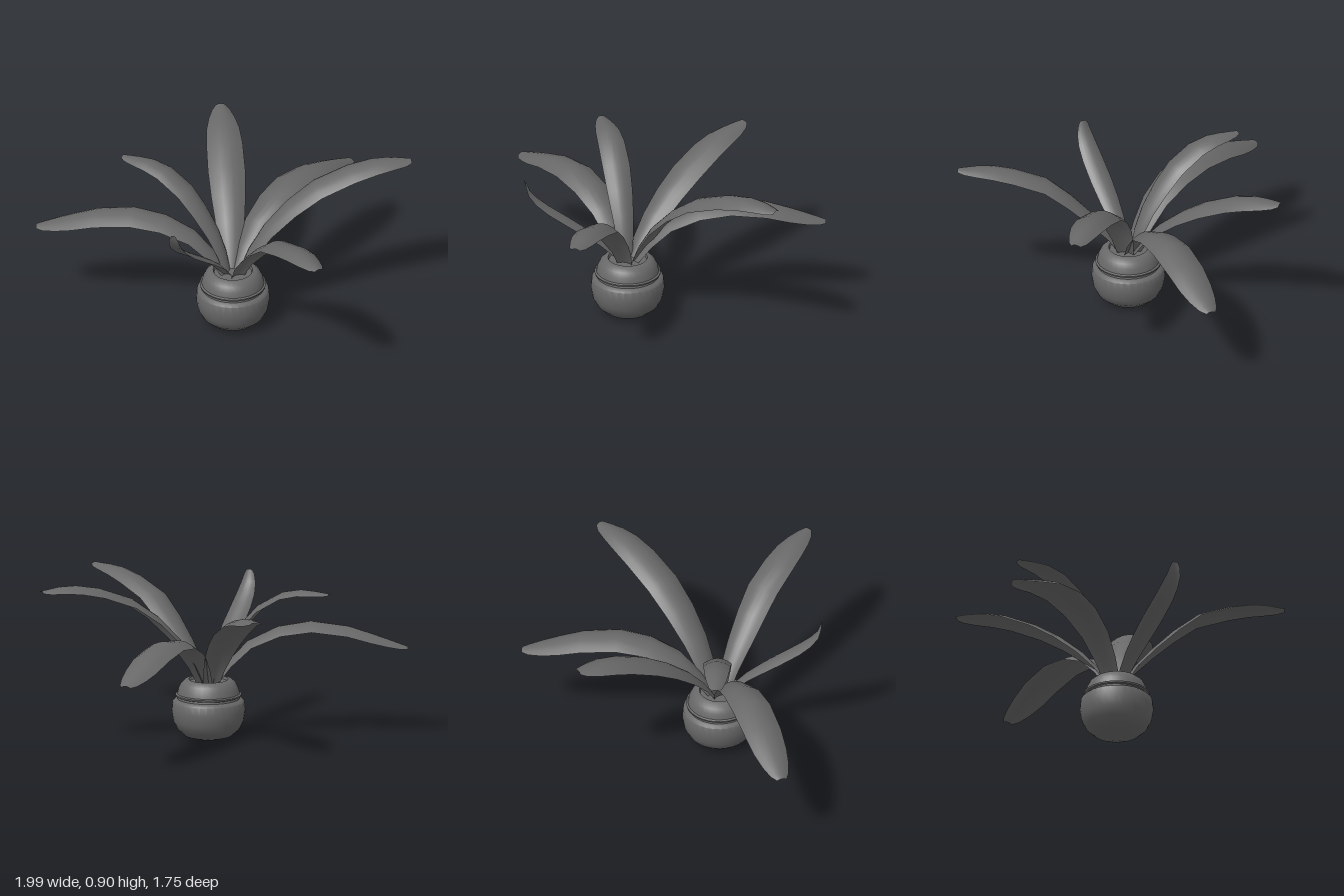
import * as THREE from 'three';
import { toCreasedNormals } from 'three/addons/utils/BufferGeometryUtils.js';

const grey = new THREE.MeshStandardMaterial({ color: 0x686868 });
const leafGrey = new THREE.MeshStandardMaterial({ color: 0x686868, side: THREE.DoubleSide });
const BASE = new THREE.Vector3(0.018, 0, 0.02);

// half-width of a blade along its length, relative to its widest point
const OUTLINE = [[0, 0.42], [0.12, 0.6], [0.25, 0.77], [0.4, 0.92], [0.55, 1], [0.72, 0.97],
  [0.83, 0.87], [0.91, 0.7], [0.97, 0.48], [1, 0.26]];

// Arched blade swept along a spine given as [fraction of reach, height]
function leafGeometry(tipX, tipZ, halfWidth, spine) {
  const out = new THREE.Vector3(tipX - BASE.x, 0, tipZ - BASE.z);
  const curve = new THREE.CatmullRomCurve3(spine.map(([f, y]) =>
    BASE.clone().addScaledVector(out, f).setY(y)));
  const side = new THREE.Vector3(0, 1, 0).cross(out).normalize();
  const cols = 6, pos = [], index = [];
  OUTLINE.forEach(([t, width], r) => {
    const p = curve.getPointAt(t), tangent = curve.getTangentAt(t);
    const normal = tangent.clone().cross(side).normalize();
    const w = halfWidth * width;
    for (let c = 0; c <= cols; c++) {
      const u = (c / cols) * 2 - 1;
      const v = p.clone().addScaledVector(side, u * w).addScaledVector(normal, -0.38 * w * u * u);
      pos.push(v.x, v.y, v.z);
      if (r && c) {
        const d = r * (cols + 1) + c, b = d - cols - 1;
        index.push(b - 1, b, d - 1, b, d, d - 1);
      }
    }
  });
  const g = new THREE.BufferGeometry();
  g.setAttribute('position', new THREE.Float32BufferAttribute(pos, 3));
  g.setIndex(index);
  g.computeVertexNormals();
  return g;
}

export function createModel() {
  const group = new THREE.Group();

  // Round pot with a grooved band, filled almost to the rim
  const profile = [[0.075, 0], [0.125, 0.015], [0.165, 0.05], [0.188, 0.095], [0.197, 0.15],
    [0.192, 0.2], [0.18, 0.212], [0.167, 0.216], [0.165, 0.226], [0.175, 0.23], [0.177, 0.239],
    [0.167, 0.244], [0.165, 0.252], [0.16, 0.272], [0.147, 0.298], [0.126, 0.318], [0.105, 0.32],
    [0.1, 0.306], [0, 0.306]].map(([x, y]) => new THREE.Vector2(x, y));
  const pot = new THREE.Mesh(toCreasedNormals(new THREE.LatheGeometry(profile, 32), 0.7), grey);
  pot.name = 'pot';
  pot.position.copy(BASE);
  const foot = new THREE.Mesh(new THREE.CircleGeometry(0.075, 32).rotateX(Math.PI / 2), grey);
  foot.name = 'potFoot';
  foot.position.copy(BASE);
  group.add(pot, foot);

  // Leaves: name, tip x, tip z, half-width, spine
  const drooping = [[0.02, 0.29], [0.1, 0.42], [0.22, 0.545], [0.4, 0.618], [0.6, 0.628], [0.8, 0.568], [1, 0.49]];
  const leaves = [
    ['leftLeaf', 0.99, -0.04, 0.1,
      [[0.03, 0.29], [0.12, 0.48], [0.24, 0.63], [0.37, 0.74], [0.5, 0.82], [0.65, 0.87], [0.83, 0.9], [1, 0.885]]],
    ['rightLeaf', -0.99, -0.325, 0.105, drooping],
    ['backLeftLeaf', 0.77, -0.73, 0.105, drooping],
    ['backLeaf', 0.09, -0.87, 0.1,
      [[0.03, 0.29], [0.12, 0.42], [0.28, 0.565], [0.5, 0.7], [0.75, 0.79], [1, 0.812]]],
    ['frontLeaf', 0.35, 0.868, 0.09,
      [[0.03, 0.29], [0.12, 0.43], [0.24, 0.545], [0.45, 0.72], [0.6, 0.775], [0.8, 0.815], [1, 0.812]]],
    ['backRightLeaf', -0.51, -0.405, 0.075,
      [[0.03, 0.29], [0.1, 0.45], [0.25, 0.62], [0.48, 0.78], [0.72, 0.84], [1, 0.83]]],
    ['frontRightLeaf', -0.36, 0.415, 0.06,
      [[0.03, 0.29], [0.25, 0.43], [0.5, 0.54], [0.8, 0.66], [0.95, 0.74], [1, 0.81]]],
  ];
  for (const [name, x, z, w, spine] of leaves) {
    const leaf = new THREE.Mesh(leafGeometry(x, z, w, spine), leafGrey);
    leaf.name = name;
    group.add(leaf);
  }
  return group;
}
